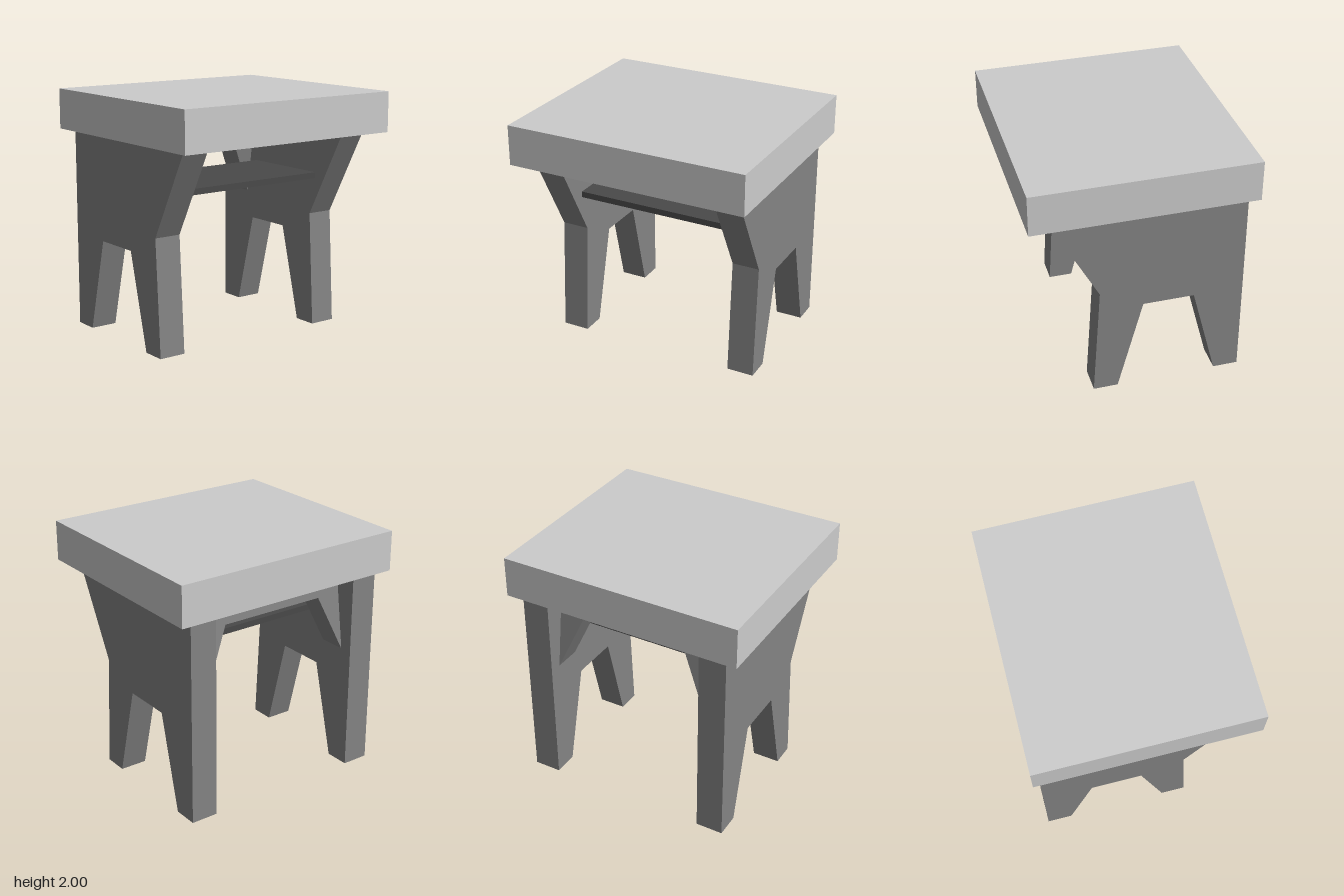
import * as THREE from 'three';

const seatGrey = new THREE.MeshStandardMaterial({ name: 'lightGrey', color: 0xcccccc });
const legGrey = new THREE.MeshStandardMaterial({ name: 'midGrey', color: 0x848484 });
const shelfGrey = new THREE.MeshStandardMaterial({ name: 'darkGrey', color: 0x4a4a4a });

// Flat board: outline extruded along z from 0 to depth
function board(points, depth) {
  const shape = new THREE.Shape(points.map(([x, y]) => new THREE.Vector2(x, y)));
  return new THREE.ExtrudeGeometry(shape, { depth, bevelEnabled: false });
}

function addMesh(group, name, geometry, material) {
  const mesh = new THREE.Mesh(geometry, material);
  mesh.name = name;
  group.add(mesh);
  return mesh;
}

export function createModel() {
  const group = new THREE.Group();
  group.name = 'stool';

  // Thick seat slab
  addMesh(group, 'seat', new THREE.BoxGeometry(2, 0.33, 1.78), seatGrey).position.y = 1.835;

  // Side panels with a notch between the feet; outline is in (z, y)
  const outline = [
    [0.72, 1.67], [0.335, 0.95], [0.39, 0], [0.19, 0], [-0.015, 0.785],
    [-0.43, 0.785], [-0.63, 0], [-0.835, 0], [-0.835, 1.67],
  ];
  const panel = board(outline.map(([z, y]) => [-z, y]), 0.225).rotateY(Math.PI / 2);
  addMesh(group, 'leftSidePanel', panel, legGrey).position.x = 0.665;
  addMesh(group, 'rightSidePanel', panel, legGrey).position.x = -0.89;

  // Arched back apron, leaning forward towards the top
  const apron = board([
    [-0.665, 1.67], [-0.665, 1.02], [-0.455, 1.49],
    [0.455, 1.49], [0.665, 1.02], [0.665, 1.67],
  ], 0.225);
  const pos = apron.attributes.position;
  for (let i = 0; i < pos.count; i++) {
    pos.setZ(i, pos.getZ(i) - 0.73 + 0.14 * (pos.getY(i) - 1.02));
  }
  apron.computeVertexNormals();
  addMesh(group, 'backApron', apron, legGrey);

  // Thin shelf between the panels
  addMesh(group, 'shelf', new THREE.BoxGeometry(1.33, 0.05, 0.775), shelfGrey)
    .position.set(0, 1.283, 0.008);

  return group;
}
